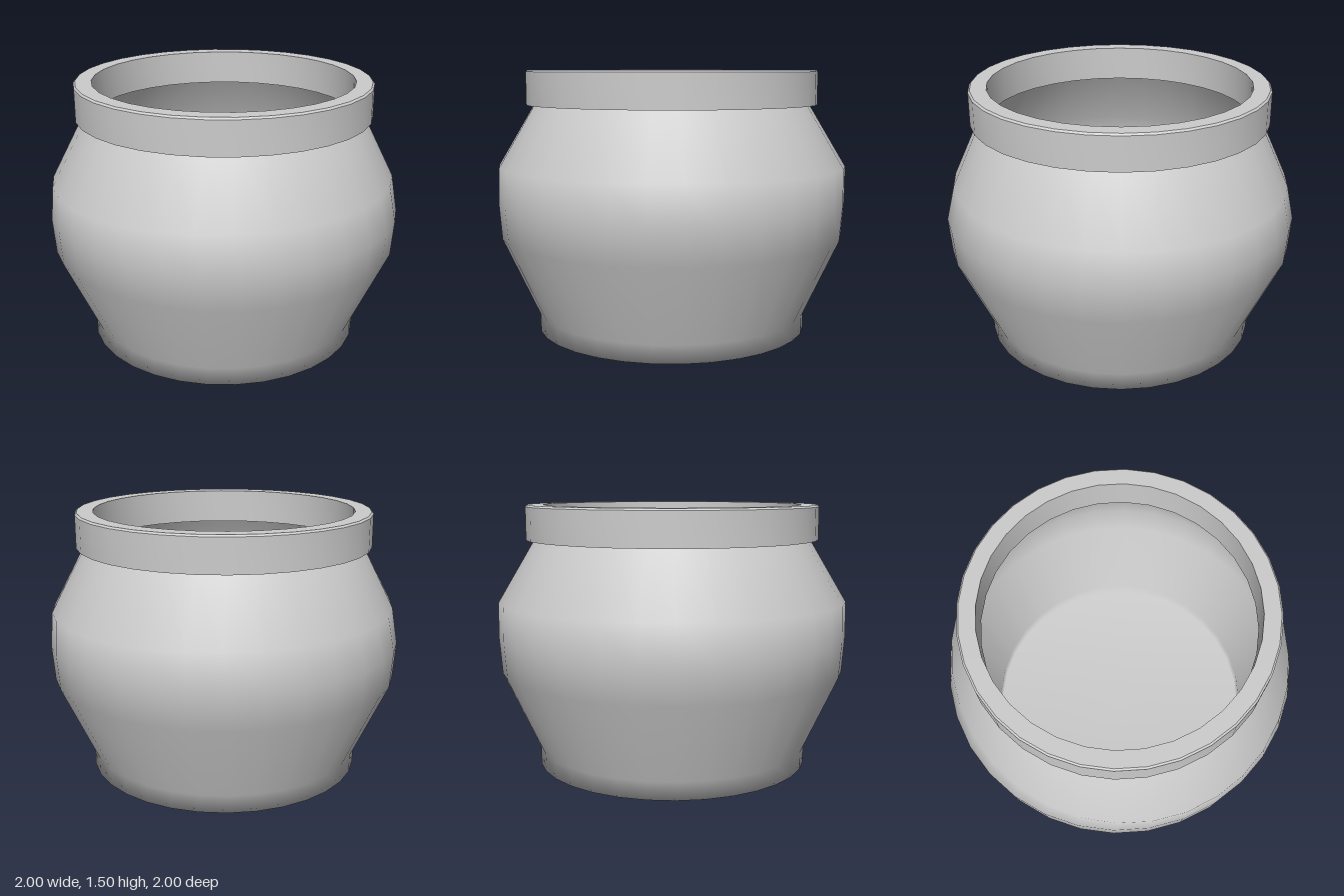
import * as THREE from 'three';
import { toCreasedNormals } from 'three/addons/utils/BufferGeometryUtils.js';

const SEGMENTS = 32;

function lathe(profile) {
  return new THREE.LatheGeometry(profile.map(([r, y]) => new THREE.Vector2(r, y)), SEGMENTS);
}

function addPart(group, name, geometry, side = THREE.FrontSide) {
  const material = new THREE.MeshStandardMaterial({ color: 0xcccccc, side });
  const mesh = new THREE.Mesh(geometry, material);
  mesh.name = name;
  group.add(mesh);
}

export function createModel() {
  const group = new THREE.Group();
  group.name = 'pot';

  // Thin-walled hollow body with a closed foot and an open neck
  const shoulderY = 0.95;
  const body = lathe([
    [0, 0], [0.78, 0], [0.78, 0.1], [0.985, 0.55],
    [1, 0.75], [1, shoulderY], [0.79, 1.3],
  ]);

  // The shoulder ring is slightly narrower from side to side
  const pos = body.attributes.position;
  for (let i = 0; i < pos.count; i++) {
    if (Math.abs(pos.getY(i) - shoulderY) < 1e-4) pos.setX(i, pos.getX(i) * 0.95);
  }
  addPart(group, 'body', body, THREE.DoubleSide);

  // Thick flat-topped collar around the mouth
  const rim = lathe([
    [0.835, 1.3], [0.835, 1.485], [0.825, 1.495], [0.735, 1.495], [0.735, 1.3], [0.835, 1.3],
  ]);
  addPart(group, 'rim', toCreasedNormals(rim, Math.PI / 5));

  return group;
}
